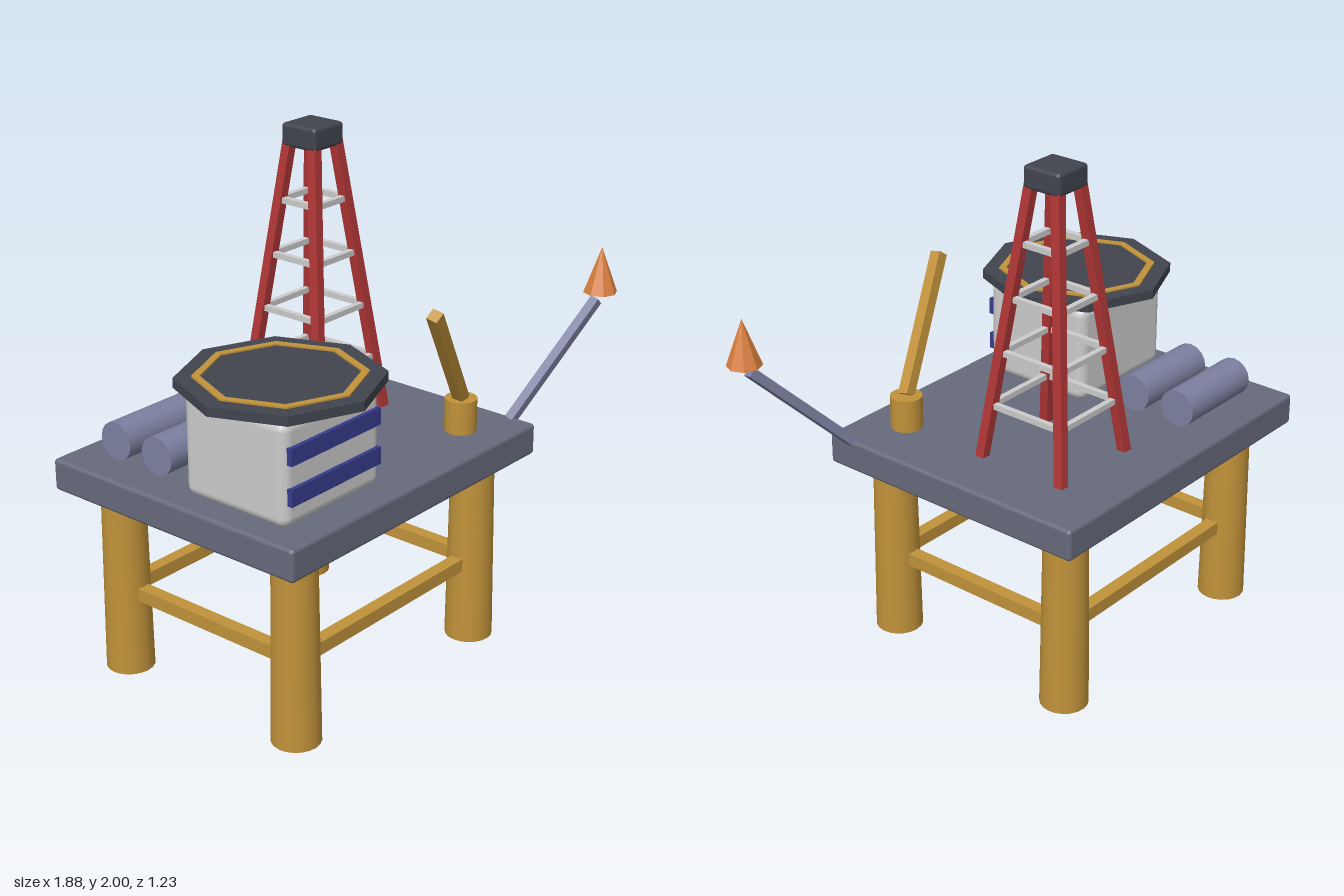
import * as THREE from 'three';
import { RoundedBoxGeometry } from 'three/addons/geometries/RoundedBoxGeometry.js';

const mat = (color, flatShading = false) => new THREE.MeshStandardMaterial({ color, flatShading });
const GOLD = mat(0xc0923a), SLATE = mat(0x676a7c), DARK = mat(0x41444e, true), RED = mat(0xb03636);
const WHITE = mat(0xcccccc), NAVY = mat(0x383c8c), STEEL = mat(0x7c80a0), FLAME = mat(0xd9803f, true);

export function createModel() {
  const root = new THREE.Group();

  function add(name, geometry, material, x, y, z, parent = root) {
    const mesh = new THREE.Mesh(geometry, material);
    mesh.name = name;
    mesh.position.set(x, y, z);
    parent.add(mesh);
    return mesh;
  }

  function group(name) {
    const g = new THREE.Group();
    g.name = name;
    root.add(g);
    return g;
  }

  // Square beam running between two points
  function beam(name, a, b, t, material, parent = root) {
    const from = new THREE.Vector3(...a), to = new THREE.Vector3(...b);
    const dir = to.clone().sub(from);
    const mid = from.clone().add(to).multiplyScalar(0.5);
    const mesh = add(name, new THREE.BoxGeometry(t, dir.length(), t), material, mid.x, mid.y, mid.z, parent);
    mesh.quaternion.setFromUnitVectors(new THREE.Vector3(0, 1, 0), dir.normalize());
    return mesh;
  }

  // Deck
  add('deck', new RoundedBoxGeometry(1.395, 0.125, 1.16, 3, 0.015), SLATE, -0.217, 0.808, -0.035);

  // Tapered legs and the braces joining them
  const substructure = group('substructure');
  const legX = [-0.73, 0.295], legZ = [-0.45, 0.39];
  for (const x of legX) for (const z of legZ)
    add('leg', new THREE.CylinderGeometry(0.083, 0.093, 0.76, 20), GOLD, x, 0.38, z, substructure);
  for (const z of legZ)
    beam('longBrace', [legX[0], 0.33, z], [legX[1], 0.33, z], 0.052, GOLD, substructure);
  for (const x of legX)
    beam('crossBrace', [x, 0.33, legZ[0]], [x, 0.33, legZ[1]], 0.052, GOLD, substructure);

  // Living quarters with window bands on the front
  const quarters = group('quarters');
  add('quartersBody', new RoundedBoxGeometry(0.51, 0.395, 0.47, 4, 0.04), WHITE, -0.572, 1.068, 0.2, quarters);
  for (const y of [0.993, 1.143])
    add('windowBand', new THREE.BoxGeometry(0.47, 0.065, 0.03), NAVY, -0.572, y, 0.436, quarters);

  // Octagonal helipad with a painted border
  const helipad = group('helipad');
  add('padPlate', new THREE.CylinderGeometry(0.372, 0.372, 0.036, 8), DARK, -0.573, 1.287, 0.198, helipad);
  const octagon = (r) => Array.from({ length: 8 }, (_, i) =>
    new THREE.Vector2(r * Math.cos(i * Math.PI / 4), r * Math.sin(i * Math.PI / 4)));
  const border = new THREE.Shape(octagon(0.308));
  border.holes.push(new THREE.Path(octagon(0.279)));
  const borderGeometry = new THREE.ExtrudeGeometry(border, { depth: 0.008, bevelEnabled: false });
  add('padBorder', borderGeometry.rotateX(-Math.PI / 2), GOLD, -0.573, 1.303, 0.198, helipad);

  // Storage tanks lying along x
  for (const z of [-0.22, -0.427])
    add('tank', new THREE.CylinderGeometry(0.074, 0.074, 0.375, 16).rotateZ(Math.PI / 2), STEEL, -0.588, 0.945, z);

  // Derrick: four leaning legs, four rings of rungs and a cap
  const derrick = group('derrick');
  derrick.position.set(0.063, 0, -0.203);
  const baseY = 0.865, topY = 1.93;
  const spread = (y) => THREE.MathUtils.mapLinear(y, baseY, topY, 0.187, 0.06);
  for (const sx of [-1, 1]) for (const sz of [-1, 1]) {
    const b = spread(baseY), t = spread(topY);
    beam('derrickLeg', [sx * b, baseY, sz * b], [sx * t, topY, sz * t], 0.037, RED, derrick);
  }
  for (const y of [1.08, 1.29, 1.5, 1.71]) {
    const r = spread(y);
    for (const s of [-1, 1]) {
      beam('rung', [-r, y, s * r], [r, y, s * r], 0.022, WHITE, derrick);
      beam('rung', [s * r, y, -r], [s * r, y, r], 0.022, WHITE, derrick);
    }
  }
  add('derrickCap', new RoundedBoxGeometry(0.165, 0.088, 0.165, 3, 0.015), mat(0x41444e), 0, 1.956, 0, derrick);

  // Crane
  const crane = group('crane');
  add('cranePedestal', new THREE.CylinderGeometry(0.062, 0.062, 0.135, 16), GOLD, 0.252, 0.933, 0.36, crane);
  beam('craneBoom', [0.25, 1.0, 0.362], [-0.075, 1.445, 0.478], 0.045, GOLD, crane);

  // Flare boom and flame
  const flare = group('flare');
  beam('flareBoom', [0.465, 0.86, 0.437], [0.86, 1.265, 0.546], 0.036, STEEL, flare);
  add('flame', new THREE.ConeGeometry(0.066, 0.18, 8), FLAME, 0.874, 1.385, 0.553, flare);

  return root;
}
